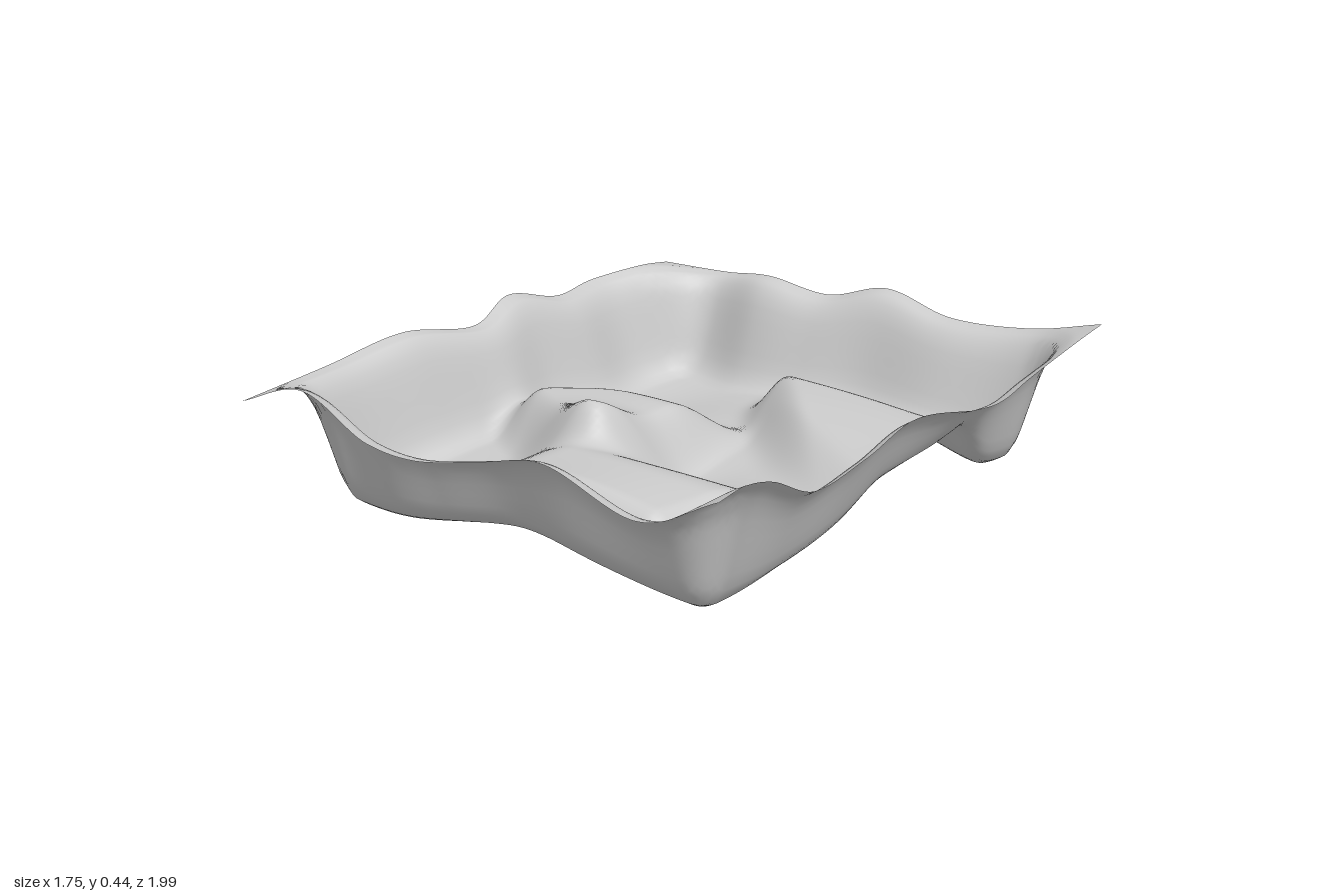
import * as THREE from 'three';

const V = (p) => new THREE.Vector3(...p);
const curve = (pts) => new THREE.CatmullRomCurve3(pts.map(V));
const step = (t) => THREE.MathUtils.smoothstep(t, 0, 1);

// Wavy rim: four edges sharing their corners, points are [x, y, z]
const BL = [-0.83, 0.37, -0.95], BR = [0.87, 0.44, -0.96];
const FL = [-0.84, 0.35, 0.99], FR = [0.87, 0.44, 0.985];
const rim = {
  back: curve([BL, [-0.6, 0.36, -1], [-0.38, 0.39, -0.955], [-0.15, 0.36, -0.97], [0.06, 0.41, -1],
    [0.32, 0.36, -0.98], [0.6, 0.37, -0.995], BR]),
  front: curve([FL, [-0.65, 0.41, 0.945], [-0.33, 0.33, 0.99], [-0.18, 0.31, 0.97], [0.02, 0.34, 0.94],
    [0.28, 0.4, 0.96], [0.58, 0.31, 0.945], FR]),
  left: curve([BL, [-0.82, 0.39, -0.8], [-0.88, 0.37, -0.6], [-0.86, 0.36, -0.4], [-0.87, 0.41, -0.17],
    [-0.83, 0.36, 0.03], [-0.855, 0.4, 0.33], [-0.88, 0.36, 0.62], FL]),
  right: curve([BR, [0.865, 0.42, -0.84], [0.83, 0.35, -0.6], [0.845, 0.33, -0.42], [0.865, 0.35, -0.25],
    [0.83, 0.39, 0.03], [0.84, 0.35, 0.3], [0.82, 0.315, 0.5], [0.825, 0.4, 0.7], [0.845, 0.435, 0.84], FR]),
};

// Raised areas of the floor: each is bounded by soft slopes [normal x, normal z, offset, width]
const mounds = [
  { h: 0.16, slopes: [[1, 0, 0.04, 0.17], [0, 1, 0.41, 0.17], [0.7, 0.7, 0.23, 0.18], [-0.5, 0.87, 0.48, 0.18],
    [-1, 0, 0.84, 0.32], [-0.6, -0.8, 0.62, 0.36], [0, -1, 0.42, 0.36]] },
  { h: 0.16, slopes: [[-0.75, 0.66, -0.17, 0.2], [-0.5, 0.86, -0.13, 0.24], [0, 1, 0.35, 0.8],
    [0.1, -1, 0.81, 0.3], [-1, 0, 0.26, 0.24], [0.7, -0.7, 0.95, 0.18]] },
  { h: 0.15, slopes: [[0, 1, 0.76, 0.17], [0.98, 0.2, 0.65, 0.18], [-1, 0, 0.5, 0.4], [0, -1, 0, 0.42]] },
];

// Gentle swells and hollows [x, z, radius, height]
const swells = [[0.05, 0.8, 0.25, 0.03], [0.75, 0.1, 0.2, 0.03], [0.05, 0.02, 0.16, -0.03],
  [-0.62, 0.66, 0.29, -0.05], [0.6, 0.62, 0.28, -0.05], [-0.56, -0.57, 0.28, -0.05], [0.6, -0.76, 0.22, -0.052]];

function floorHeight(x, z) {
  let y = 0.054;
  for (const { h, slopes } of mounds) {
    y += slopes.reduce((m, [nx, nz, off, w]) => m * step((off - nx * x - nz * z) / w), h);
  }
  for (const [sx, sz, r, h] of swells) y += h * Math.exp(-((x - sx) ** 2 + (z - sz) ** 2) / (r * r));
  return y;
}

// Wall profile: share of the rim height at a distance in from the rim
const wall = [[0, 1], [0.05, 0.95], [0.085, 0.8], [0.115, 0.53], [0.15, 0.2], [0.18, 0.06], [0.22, 0]];
function wallShare(d) {
  if (d <= 0) return 1;
  for (let i = 1; i < wall.length; i++) {
    const [d0, s0] = wall[i - 1], [d1, s1] = wall[i];
    if (d < d1) return s0 + (s1 - s0) * (d - d0) / (d1 - d0);
  }
  return 0;
}

// Distance in from the rim, with rounded corners
function inset(u, v) {
  const r = 0.25, a = Math.min(u, 1 - u) * 1.7, b = Math.min(v, 1 - v) * 1.94;
  return a < r && b < r ? r - Math.hypot(r - a, r - b) : Math.min(a, b);
}

export function createModel() {
  const group = new THREE.Group();
  const nx = 110, nz = 126;
  const back = rim.back.getSpacedPoints(nx), front = rim.front.getSpacedPoints(nx);
  const left = rim.left.getSpacedPoints(nz), right = rim.right.getSpacedPoints(nz);
  const [bl, br, fl, fr] = [BL, BR, FL, FR].map(V);
  const geo = new THREE.PlaneGeometry(1, 1, nx, nz);
  const pos = geo.attributes.position;
  const p = new THREE.Vector3();

  // Span the sheet between the four rim edges, then sink it into a tray
  for (let j = 0, k = 0; j <= nz; j++) {
    for (let i = 0; i <= nx; i++, k++) {
      const u = i / nx, v = j / nz;
      p.set(0, 0, 0)
        .addScaledVector(back[i], 1 - v).addScaledVector(front[i], v)
        .addScaledVector(left[j], 1 - u).addScaledVector(right[j], u)
        .addScaledVector(bl, -(1 - u) * (1 - v)).addScaledVector(br, -u * (1 - v))
        .addScaledVector(fl, -(1 - u) * v).addScaledVector(fr, -u * v);
      const base = floorHeight(p.x, p.z);
      pos.setXYZ(k, p.x, base + (p.y - base) * wallShare(inset(u, v)), p.z);
    }
  }
  geo.computeVertexNormals();

  const tray = new THREE.Mesh(geo, new THREE.MeshStandardMaterial({ color: 0xcccccc, side: THREE.DoubleSide }));
  tray.name = 'wavyTray';
  group.add(tray);
  return group;
}
